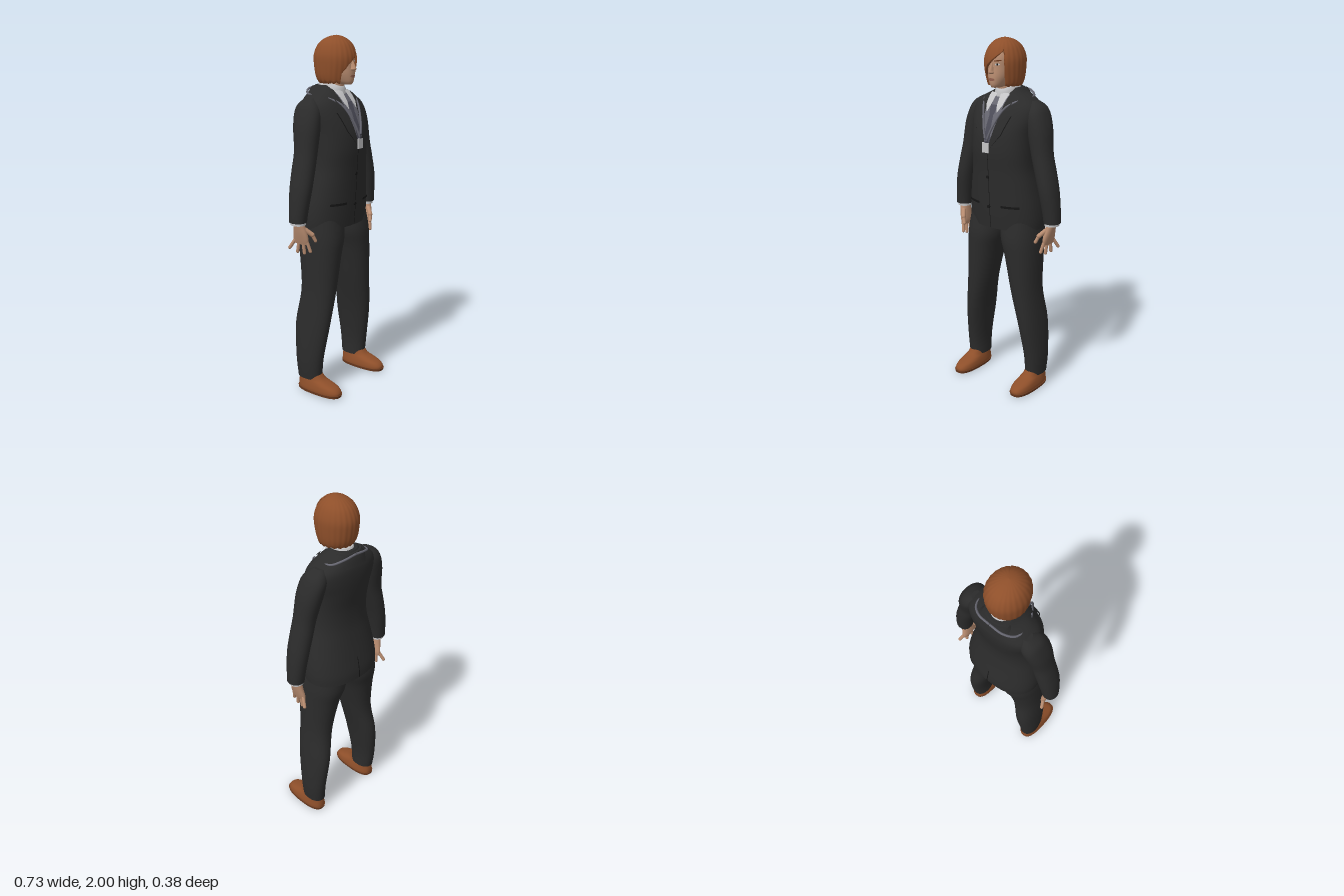
import * as THREE from 'three';

const mat = (name, color) => Object.assign(new THREE.MeshStandardMaterial({ color }), { name });
const V = (x, y, z) => new THREE.Vector3(x, y, z);

// Sections are [y, centreX, halfWidth, frontZ, backZ], from low to high.
const smooth = (secs, steps = 5) => {
  const rows = [], n = secs.length;
  for (let i = 0; i < n - 1; i++) {
    const [p, a, b, q] = [secs[Math.max(i - 1, 0)], secs[i], secs[i + 1], secs[Math.min(i + 2, n - 1)]];
    for (let k = 0; k < steps; k++) {
      const t = k / steps;
      rows.push(a.map((_, c) => 0.5 * (2 * a[c] + (b[c] - p[c]) * t + (2 * p[c] - 5 * a[c] + 4 * b[c] - q[c]) * t * t
        + (3 * a[c] - p[c] - 3 * b[c] + q[c]) * t ** 3)));
    }
  }
  rows.push(secs[n - 1]);
  return rows;
};
const sectionAt = (rows, y) => {
  let i = 0;
  while (i < rows.length - 2 && rows[i + 1][0] < y) i++;
  const t = THREE.MathUtils.clamp((y - rows[i][0]) / (rows[i + 1][0] - rows[i][0]), 0, 1);
  return rows[i].map((v, c) => v + (rows[i + 1][c] - v) * t);
};
const ringPoint = ([y, cx, rx, zf, zb], a, e, k = 1) => {
  const pw = v => Math.sign(v) * Math.abs(v) ** (2 / e);
  return [cx + k * rx * pw(Math.sin(a)), y, (zf + zb) / 2 + k * (zf - zb) / 2 * pw(Math.cos(a))];
};

// Joins rows of points, low to high, into one surface
function skin(rows, closed) {
  const w = rows[0].length, idx = [];
  for (let i = 0; i < rows.length - 1; i++) {
    for (let j = 0; j < (closed ? w : w - 1); j++) {
      const a = i * w + j, b = i * w + (j + 1) % w;
      idx.push(a, b, b + w, a, b + w, a + w);
    }
  }
  const g = new THREE.BufferGeometry();
  g.setAttribute('position', new THREE.Float32BufferAttribute(rows.flat(2), 3));
  g.setIndex(idx);
  g.computeVertexNormals();
  return g;
}
// Closed body through horizontal sections
function loft(secs, e = 2.2, sides = 40) {
  const rows = smooth(secs);
  const ring = (s, k) => Array.from({ length: sides }, (_, j) => ringPoint(s, j / sides * Math.PI * 2, e, k));
  const lo = rows[0], hi = rows[rows.length - 1];
  return skin([ring(lo, 0), ring(lo, 1), ...rows.map(s => ring(s, 1)), ring(hi, 1), ring(hi, 0)], true);
}
// Thin panel lying on a lofted body; edges are [y, leftX, rightX], low to high
function panel(body, e, edges, off, side = 1) {
  const base = smooth(body), rows = [];
  for (let i = 0; i < edges.length - 1; i++) {
    for (let k = i ? 1 : 0; k <= 6; k++) {
      const [y, l, r] = edges[i].map((v, c) => v + (edges[i + 1][c] - v) * k / 6);
      const [, cx, rx, zf, zb] = sectionAt(base, y), row = [];
      for (let j = 0; j <= 8; j++) {
        const x = l + (r - l) * j / 8, u = Math.min(Math.abs((x - cx) / rx), 1);
        row.push([x, y, (zf + zb) / 2 + side * ((zf - zb) / 2 * (1 - u ** e) ** (1 / e) + off)]);
      }
      rows.push(side > 0 ? row : row.reverse());
    }
  }
  return skin(rows, false);
}

const TORSO = [[.965, 0, .228, .12, -.185], [1.02, 0, .23, .125, -.183], [1.1, 0, .223, .13, -.168], [1.2, 0, .205, .135, -.148],
  [1.3, 0, .187, .14, -.132], [1.4, 0, .185, .147, -.132], [1.5, 0, .19, .138, -.147], [1.58, 0, .205, .112, -.156],
  [1.64, 0, .2, .083, -.156], [1.68, 0, .158, .055, -.148], [1.71, 0, .1, .03, -.138], [1.735, 0, .07, .005, -.122]];
const HEAD = [[1.742, 0, .022, .1, .03], [1.76, 0, .042, .109, -.05], [1.8, 0, .061, .111, -.08], [1.85, 0, .071, .106, -.1],
  [1.9, 0, .075, .103, -.11], [1.95, 0, .065, .08, -.09], [1.98, 0, .035, .04, -.05]];
const HAIR = [[1.735, 0, .084, .085, -.088], [1.78, 0, .1, .1, -.115], [1.85, 0, .107, .116, -.128], [1.9, 0, .105, .114, -.128],
  [1.95, 0, .086, .092, -.106], [1.98, 0, .058, .06, -.07], [1.994, 0, .03, .03, -.034], [2, 0, .001, .001, -.001]];

// Bob with a swept fringe: each strand column hangs to its own length
function hairGeometry() {
  const base = smooth(HAIR), N = 144, R = 24;
  const fringe = [[-.62, 1.8], [-.3, 1.852], [.2, 1.897], [.62, 1.935]];
  const hem = a => {
    const u = Math.sin(a);
    if (Math.cos(a) < 0 || u < -.62 || u > .62) return 1.75 + .004 * Math.sin(a * 19);
    const i = fringe.findIndex((f, k) => k && u <= f[0]), [p, q] = [fringe[i - 1], fringe[i]];
    return p[1] + (q[1] - p[1]) * (u - p[0]) / (q[0] - p[0]);
  };
  const rows = [];
  for (let i = -1; i <= R; i++) {
    rows.push(Array.from({ length: N }, (_, j) => {
      const a = j / N * Math.PI * 2, low = hem(a), t = Math.sin(Math.max(i, 0) / R * Math.PI / 2);
      return ringPoint(sectionAt(base, low + (2 - low) * t), a, 2, i < 0 ? .72 : 1 + .008 * Math.sin(a * 24));
    }));
  }
  return skin(rows, true);
}

export function createModel() {
  const model = new THREE.Group();
  const suit = mat('suit black', 0x2b2b2b), seam = mat('seam black', 0x161616), skinTone = mat('skin', 0xb88c70),
    brown = mat('chestnut brown', 0x8e4f2a), white = mat('shirt white', 0xc4c4c6), grey = mat('waistcoat grey', 0x666670),
    tieMat = mat('tie grey', 0x4c4c58), lip = mat('lip', 0x93604e), sole = mat('sole brown', 0x6e3c20);
  const add = (name, geo, m) => {
    const mesh = new THREE.Mesh(geo, m);
    mesh.name = name;
    model.add(mesh);
    return mesh;
  };
  const limb = (name, a, b, r, m) => {
    const mesh = add(name, new THREE.CapsuleGeometry(r, a.distanceTo(b), 5, 12), m);
    mesh.position.copy(a).lerp(b, .5);
    mesh.quaternion.setFromUnitVectors(V(0, 1, 0), b.clone().sub(a).normalize());
  };
  const onTorso = (name, m, edges, off, side) => add(name, panel(TORSO, 2.3, edges, off, side), m);
  const onFace = (name, m, edges, off = .002) => add(name, panel(HEAD, 2.2, edges, off), m);

  // Jacket and the shirt front in its opening
  add('jacket', loft(TORSO, 2.3, 56), suit);
  onTorso('waistcoat', grey, [[1.41, -.003, .003], [1.5, -.032, .032], [1.6, -.054, .054], [1.7, -.062, .062]], .004);
  onTorso('tie', tieMat, [[1.42, -.008, .008], [1.45, -.022, .022], [1.6, -.013, .013], [1.61, -.017, .017], [1.65, -.025, .025]], .009);
  onTorso('frontSeam', seam, [[.97, -.002, .002], [1.41, -.002, .002]], .003);
  onTorso('backVent', seam, [[.97, -.004, .004], [1.1, -.002, .002]], .003, -1);
  for (const y of [1.09, 1.26]) {
    const b = add('button', new THREE.CylinderGeometry(.009, .009, .008, 16), seam);
    b.rotation.x = Math.PI / 2;
    b.position.set(-.006, y, y > 1.2 ? .14 : .133);
  }

  // Neck, shirt collar, head and hair
  add('neck', loft([[1.66, 0, .05, .04, -.1], [1.72, 0, .048, .04, -.092], [1.8, 0, .05, .05, -.085]]), skinTone);
  add('collarBand', loft([[1.67, 0, .07, .055, -.118], [1.72, 0, .064, .046, -.112], [1.745, 0, .058, .03, -.102]]), white);
  add('jacketCollar', loft([[1.66, 0, .13, .0, -.158], [1.7, 0, .1, -.03, -.148], [1.728, 0, .078, -.05, -.134]]), suit);
  add('head', loft(HEAD), skinTone);
  add('hair', hairGeometry(), brown);
  add('nose', loft([[1.815, 0, .009, .118, .09], [1.822, 0, .016, .13, .08], [1.835, 0, .011, .128, .08],
    [1.865, 0, .007, .113, .08], [1.885, 0, .006, .104, .08]], 2, 16), skinTone);
  onFace('lips', lip, [[1.779, -.012, .012], [1.785, -.022, .022], [1.793, -.012, .012]], .003);
  for (const s of [1, -1]) {
    const span = (y, a, b) => s > 0 ? [y, a, b] : [y, -b, -a];
    onFace('eye', white, [span(1.861, .024, .036), span(1.865, .018, .045), span(1.87, .024, .038)]);
    onFace('iris', seam, [span(1.861, .028, .034), span(1.871, .027, .035)], .003);
    onFace('eyebrow', sole, [span(1.88, .013, .03), span(1.885, .014, .05), span(1.888, .034, .048)]);

    // Lapels, collar points and pockets
    onTorso('lapel', suit, [span(1.4, 0, .004), span(1.5, .03, .08), span(1.6, .053, .118), span(1.625, .057, .1), span(1.7, .064, .1)], .01);
    onTorso('lapelEdge', seam, [span(1.41, .002, .009), span(1.5, .078, .084), span(1.6, .115, .122)], .007);
    onTorso('collarPoint', white, [span(1.615, .032, .036), span(1.65, .02, .055), span(1.71, .012, .064)], .014);
    onTorso('pocketFlap', seam, [span(1.095, .075, .175), span(1.108, .075, .175)], .005);

    // Sleeve, cuff and hand
    const side = rows => rows.map(([y, x, ...rest]) => [y, x * s, ...rest]);
    add('sleeve', loft(side([[1.025, .32, .045, .03, -.065], [1.1, .312, .048, .038, -.072], [1.2, .295, .052, .048, -.08],
      [1.3, .27, .055, .048, -.083], [1.4, .244, .057, .045, -.085], [1.52, .22, .062, .045, -.108],
      [1.6, .2, .056, .035, -.118], [1.645, .185, .046, .01, -.105], [1.672, .165, .022, -.025, -.08]])), suit);
    add('cuff', loft(side([[1.01, .319, .038, .024, -.058], [1.04, .319, .038, .024, -.058]])), white);
    add('palm', loft(side([[.9, .298, .012, .03, -.062], [.925, .3, .018, .036, -.064], [.97, .308, .022, .03, -.055],
      [1.03, .318, .024, .012, -.045]])), skinTone);
    const fingers = [[.298, .915, .026, .286, .862, .038], [.298, .908, -.002, .292, .848, .002],
      [.3, .908, -.03, .299, .852, -.04], [.304, .916, -.055, .318, .872, -.08]];
    for (const f of fingers) limb('finger', V(f[0] * s, f[1], f[2]), V(f[3] * s, f[4], f[5]), .0095, skinTone);
    limb('thumb', V(.302 * s, .985, .015), V(.277 * s, .955, .045), .013, skinTone);
    limb('thumbTip', V(.277 * s, .955, .045), V(.262 * s, .92, .055), .0095, skinTone);

    // Trouser leg and shoe
    add('trouserLeg', loft(side([[.08, .214, .052, .048, -.102], [.2, .216, .055, .06, -.115], [.4, .196, .063, .09, -.13],
      [.6, .163, .076, .105, -.108], [.8, .138, .097, .115, -.13], [.91, .119, .113, .118, -.155], [1.02, .11, .11, .1, -.15]])), suit);
    add('shoe', loft(side([[.012, .214, .056, .184, -.098], [.03, .214, .057, .184, -.099], [.05, .214, .054, .165, -.098],
      [.066, .214, .05, .12, -.096], [.082, .214, .046, .075, -.094], [.108, .214, .042, .05, -.088]]), 2.5), brown);
    add('shoeSole', loft(side([[.003, .215, .057, .186, -.1], [.018, .215, .06, .19, -.102]]), 2.6), sole);
    add('soleArch', new THREE.BoxGeometry(.07, .006, .06), seam).position.set(.215 * s, .003, -.01);

    // Lanyard strap, running under the collar to the badge
    const path = [V(0, 1.722, -.142), V(.075 * s, 1.712, -.135), V(.125 * s, 1.692, -.1), V(.137 * s, 1.684, -.05),
      V(.125 * s, 1.678, .01), V(.075 * s, 1.64, .088), V(.03 * s, 1.54, .143), V(.004 * s, 1.465, .161)];
    add('lanyard', new THREE.TubeGeometry(new THREE.CatmullRomCurve3(path), 48, .006, 8), grey);
  }
  add('badgeClip', new THREE.BoxGeometry(.016, .03, .008), tieMat).position.set(0, 1.465, .161);
  add('badge', new THREE.BoxGeometry(.042, .055, .006), white).position.set(0, 1.428, .163);
  return model;
}
